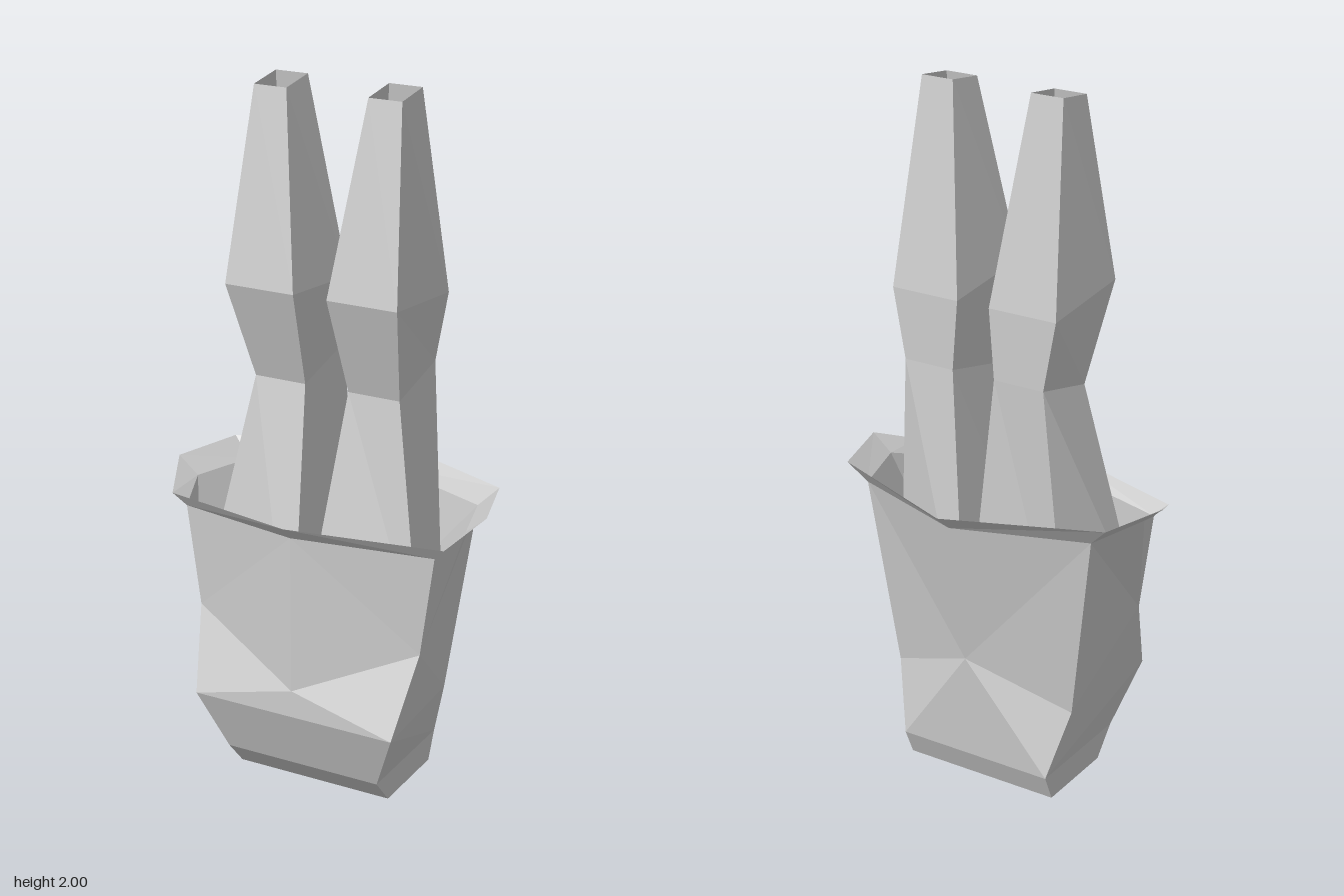
import * as THREE from 'three';

const material = new THREE.MeshStandardMaterial({ color: 0xcccccc, flatShading: true, side: THREE.DoubleSide });

// Mesh from polygons of [x, y, z] corners, each fanned from its first corner
function facetMesh(name, polygons) {
  const pos = [];
  for (const p of polygons)
    for (let i = 1; i < p.length - 1; i++) pos.push(...p[0], ...p[i], ...p[i + 1]);
  const g = new THREE.BufferGeometry();
  g.setAttribute('position', new THREE.Float32BufferAttribute(pos, 3));
  g.computeVertexNormals();
  const mesh = new THREE.Mesh(g, material);
  mesh.name = name;
  return mesh;
}

// Polygons of one half plus their mirror image (corner order reversed)
function bothSides(polygons) {
  const flip = ([x, y, z]) => [-x, y, z];
  return [...polygons, ...polygons.map(p => [p[0], ...p.slice(1).reverse()].map(flip))];
}

// Quads between two rows of points
function band(upper, lower, closed = false) {
  const out = [], n = upper.length;
  for (let i = 0; i < (closed ? n : n - 1); i++) {
    const j = (i + 1) % n;
    out.push([upper[i], lower[i], lower[j], upper[j]]);
  }
  return out;
}

export function createModel() {
  const model = new THREE.Group();

  // Half rings of the pot, front centre to back centre on the +x side
  const lip = [[0, 0.85, 0.315], [0.42, 0.83, 0.2], [0.48, 0.885, 0.065], [0.42, 0.885, -0.145], [0, 0.885, -0.315]];
  const rim = [[0, 0.81, 0.278], [0.385, 0.793, 0.182], [0.42, 0.835, 0.065], [0.365, 0.83, -0.125], [0, 0.835, -0.26]];
  const [rimF, rimFS, rimS, rimBS, rimB] = rim;

  // Waist ring, shared by the pot wall and the stalk bases
  const midF = [0, 0.35, 0.278], midFS = [0.345, 0.5, 0.182];
  const midBS = [0.29, 0.27, -0.088], midB = [0, 0.4, -0.185];
  const belly = [0.308, 0.27, 0.278], bellyC = [0, 0.27, 0.278];

  model.add(facetMesh('flaredLip', bothSides(band(lip, rim))));

  // Faceted wall from rim to belly
  model.add(facetMesh('potWall', bothSides([
    [rimF, midF, midFS, rimFS],
    [rimFS, midFS, rimS],
    [rimS, midFS, rimBS],
    [rimBS, midFS, midBS],
    [rimBS, midBS, midB, rimB],
    [midF, belly, midFS],
    [midF, bellyC, belly],
    [midFS, belly, midBS],
  ])));

  // Tapered foot, set slightly off centre
  const corner = (s, y, z) => [s * 0.238 - 0.012, y, z];
  const flipX = ([x, y, z]) => [-x, y, z];
  const foot = [];
  const topRing = [corner(-1, 0.08, 0.2), corner(1, 0.08, 0.2), corner(1, 0.08, -0.16), corner(-1, 0.08, -0.16)];
  const baseRing = [corner(-1, 0, 0.13), corner(1, 0, 0.13), corner(1, 0, -0.125), corner(-1, 0, -0.125)];
  const [fl, fr, br, bl] = topRing;
  foot.push([flipX(belly), fl, fr, belly]);
  foot.push([belly, fr, br, midBS], [flipX(belly), flipX(midBS), bl, fl]);
  foot.push([midBS, br, midB], [midB, br, bl], [midB, bl, flipX(midBS)]);
  foot.push(...band(topRing, baseRing, true), [...baseRing].reverse());
  model.add(facetMesh('potFoot', foot));

  // Two open square stalks: [inner x, outer x, front y, front z, back y, back z]
  const levels = [
    [0.12, 0.217, 1.985, 0.085, 2, -0.03],
    [0.05, 0.257, 1.46, 0.182, 1.43, -0.122],
    [0.066, 0.22, 1.18, 0.09, 1.23, -0.122],
  ];
  for (const s of [1, -1]) {
    const place = ([x, y, z]) => [s * x + 0.01, y, z];
    const rings = levels.map(([xi, xo, yf, zf, yb, zb]) =>
      [[xi, yf, zf], [xo, yf, zf], [xo, yb, zb], [xi, yb, zb]].map(place));
    rings.push([midF, midFS, midBS, midB].map(p => (s > 0 ? p : flipX(p))));
    if (s < 0) rings.forEach(r => r.reverse());
    const walls = [];
    for (let i = 0; i < rings.length - 1; i++) walls.push(...band(rings[i], rings[i + 1], true));
    model.add(facetMesh(s > 0 ? 'leftStalk' : 'rightStalk', walls));
  }
  return model;
}
